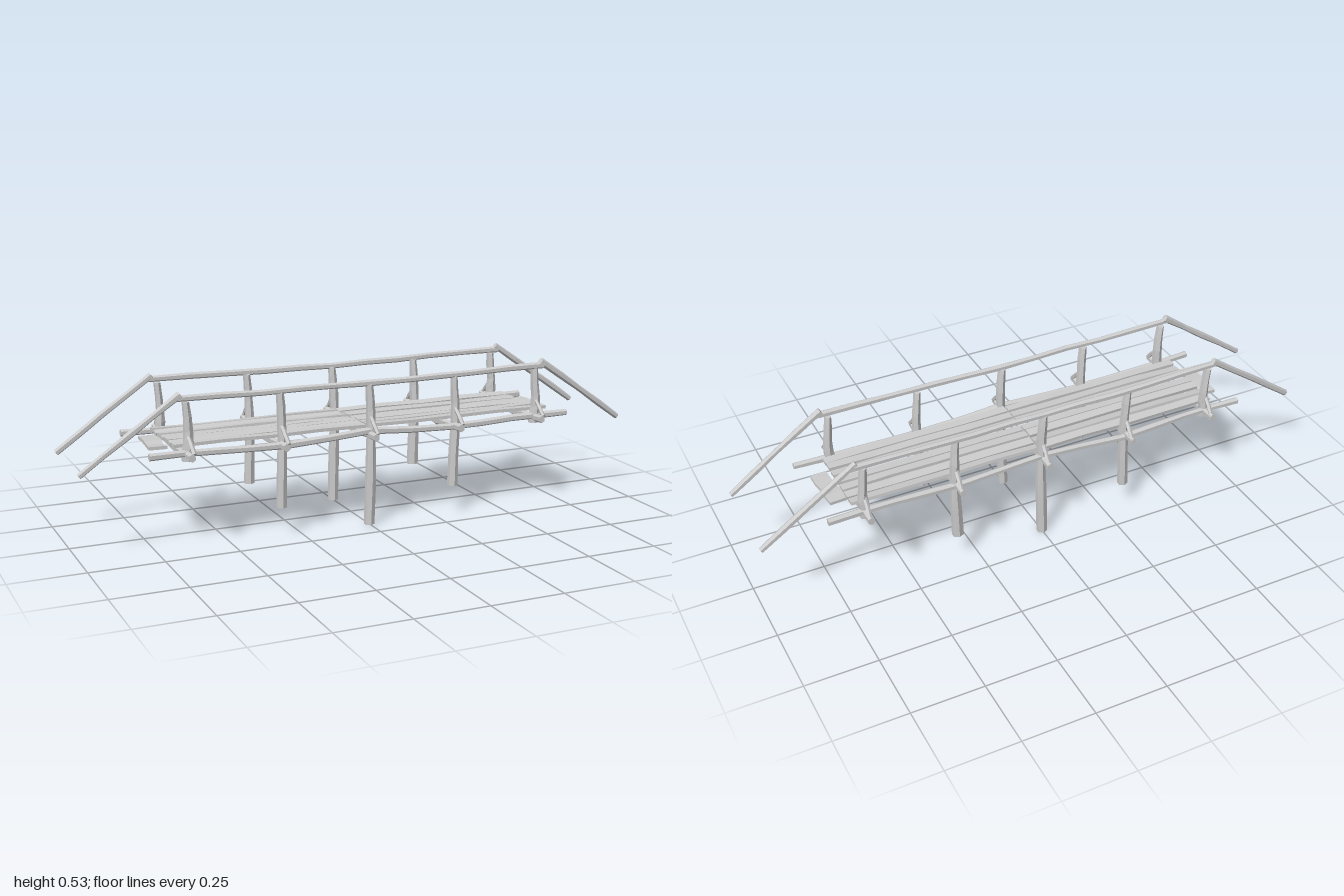
import * as THREE from 'three';

const material = new THREE.MeshStandardMaterial({ color: 0xcccccc, flatShading: true });

// Repeatable noise in -1..1
function noise(n) {
  const s = Math.sin(n * 127.1 + 31.7) * 43758.5453;
  return (s - Math.floor(s)) * 2 - 1;
}

export function createModel() {
  const bridge = new THREE.Group();
  let seed = 1;

  function add(name, geometry) {
    const flat = geometry.toNonIndexed();
    flat.computeVertexNormals();
    const mesh = new THREE.Mesh(flat, material);
    mesh.name = name;
    bridge.add(mesh);
    return mesh;
  }

  // Rough pole swept along points; a and b are its end radii
  function log(name, points, a, b, { segments = 5, sides = 6, wobble = 0.003, depth = 0 } = {}) {
    const curve = new THREE.CatmullRomCurve3(points.map(p => new THREE.Vector3(...p)));
    const geometry = new THREE.CylinderGeometry(1, 1, 1, sides, segments);
    const pos = geometry.attributes.position;
    const id = seed++ * 17;
    const dir = curve.getPoint(1).sub(curve.getPoint(0)).normalize();
    const ref = Math.abs(dir.y) > 0.9 ? new THREE.Vector3(0, 0, 1) : new THREE.Vector3(0, 1, 0);
    const side = new THREE.Vector3().crossVectors(dir, ref).normalize();
    const up = new THREE.Vector3().crossVectors(side, dir);
    for (let i = 0; i < pos.count; i++) {
      const t = pos.getY(i) + 0.5;
      const ring = Math.round(t * segments);
      const r = (a + (b - a) * t) * (1 + 0.12 * noise(id + ring));
      const p = curve.getPoint(t);
      const inner = ring > 0 && ring < segments ? wobble : 0;
      // Cylinder axes x, y, z map to side, dir and up
      p.addScaledVector(side, pos.getX(i) * r + inner * noise(id + ring * 3.3));
      p.addScaledVector(up, pos.getZ(i) * (depth || r) + inner * noise(id + ring * 5.7));
      pos.setXYZ(i, p.x, p.y, p.z);
    }
    return add(name, geometry);
  }

  // Slightly warped board
  function plank(name, length, height, width, x, y, z, tilt) {
    const geometry = new THREE.BoxGeometry(length, height, width, 4, 1, 1);
    const pos = geometry.attributes.position;
    const id = seed++ * 13;
    for (let i = 0; i < pos.count; i++) {
      const ring = Math.round((pos.getX(i) / length + 0.5) * 4);
      pos.setY(i, pos.getY(i) + 0.002 * noise(id + ring));
      pos.setZ(i, pos.getZ(i) * (1 + 0.1 * noise(id + ring * 2.1)) + 0.0015 * noise(id + ring * 4.3));
    }
    const mesh = add(name, geometry);
    mesh.position.set(x, y, z);
    mesh.rotation.x = tilt;
    return mesh;
  }

  const stations = [-0.64, -0.32, 0, 0.32, 0.64];
  const feet = [0.295, 0.1, 0, 0.1, 0.295];

  stations.forEach((x, i) => {
    for (const s of [-1, 1]) {
      // Upright, running from the ground to the handrail
      log('post', [[x, feet[i], s * 0.157], [x + 0.006, 0.37, s * 0.157], [x - 0.002, 0.49, s * 0.158]],
        0.02, 0.012, { wobble: 0.0015, depth: 0.0175 });
      // Short diagonal strut from crossbeam end to post
      log('brace', [[x + 0.006, 0.328, s * 0.215], [x + 0.004, 0.351, s * 0.194], [x + 0.002, 0.378, s * 0.166]],
        0.008, 0.007, { segments: 2, sides: 5, wobble: 0.001 });
    }
    // Crossbeam under the deck
    log('crossbeam', [[x + 0.004, 0.322, -0.225], [x, 0.314, -0.1], [x, 0.306, 0.03], [x, 0.313, 0.12], [x - 0.004, 0.32, 0.225]],
      0.011, 0.012, { segments: 6, depth: 0.014 });
  });

  for (const s of [-1, 1]) {
    // Long side beam beneath the walkway
    log('sideBeam', [[-0.77, 0.324, s * 0.172], [-0.55, 0.32, s * 0.165], [-0.3, 0.312, s * 0.168],
      [0, 0.329, s * 0.162], [0.3, 0.313, s * 0.167], [0.55, 0.322, s * 0.163], [0.77, 0.321, s * 0.166]],
      0.012, 0.012, { segments: 12, wobble: 0.002 });
    // Level handrail
    log('handrail', [[-0.67, 0.502, s * 0.162], [-0.32, 0.497, s * 0.164], [0, 0.494, s * 0.161],
      [0.32, 0.497, s * 0.164], [0.67, 0.5, s * 0.162]],
      0.011, 0.011, { segments: 10, wobble: 0.002 });
    // Sloping rails at both ends
    for (const e of [-1, 1]) {
      log('slopingRail', [[e * 0.66, 0.515, s * 0.161], [e * 0.83, 0.398, s * 0.16], [e * 0.993, 0.283, s * 0.158]],
        0.012, 0.0105, { segments: 4, wobble: 0.001 });
    }
  }

  // Deck boards, in two halves meeting at the middle
  const rows = [[-0.121, 0.337], [-0.079, 0.335], [-0.041, 0.339], [0, 0.337], [0.043, 0.341], [0.083, 0.342], [0.119, 0.339]];
  rows.forEach(([z, y], i) => {
    for (const e of [-1, 1]) {
      plank('deckPlank', 0.674, 0.011, 0.031, e * 0.34, y + 0.002 * noise(i + e * 9),
        z + 0.002 * noise(i * 5 + e), 0.18 * noise(i * 2 + e));
    }
  });

  // Narrow cross boards at the ends of the deck
  for (const e of [-1, 1]) {
    const step = plank('endPlank', 0.165, 0.011, 0.058, e * 0.709, 0.325, -0.002, 0);
    step.rotation.y = Math.PI / 2 + e * 0.06;
  }

  return bridge;
}
